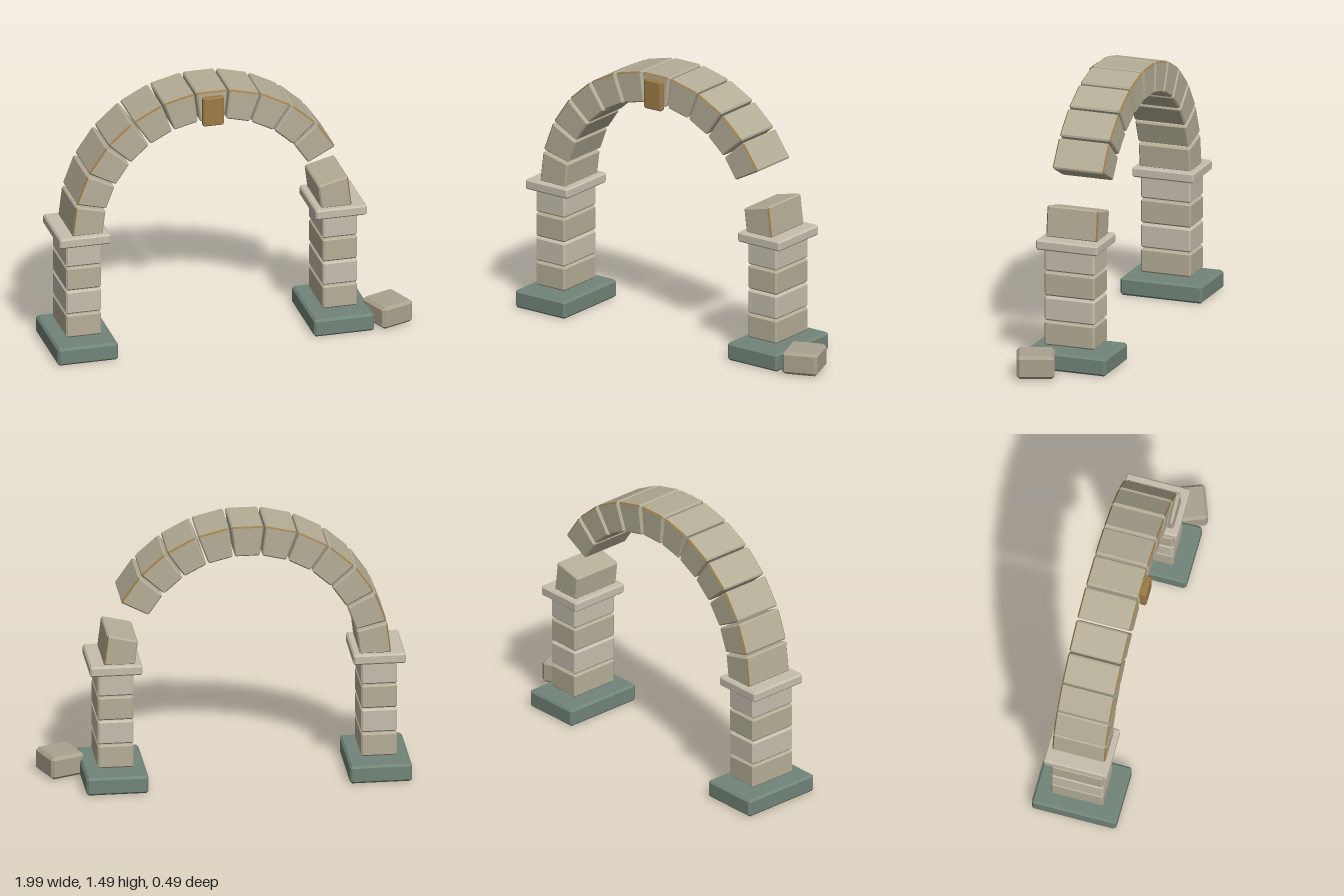
import * as THREE from 'three';
import { ConvexGeometry } from 'three/addons/geometries/ConvexGeometry.js';

const material = (color) => new THREE.MeshStandardMaterial({ color, flatShading: true });
const stoneLight = material(0xc6bfae);
const stone = material(0xb5ae97);
const stoneFallen = material(0xaaa28f);
const slate = material(0x728579);
const bronze = material(0x9c7c48);

const CX = -0.117, CZ = -0.013;   // arch axis
const SPRING = 0.71;              // height of the arch centre
const COUNT = 13, MISSING = 11;   // voussoirs, and the one that fell out
const STEP = Math.PI / COUNT;
const R_MID = 0.69, R_DEPTH = 0.17, JOINT = 0.012;

// Box with chamfered edges; widthAt(y) optionally tapers it
function chamferBox(w, h, d, c, widthAt = () => w) {
  const points = [];
  const [x, y, z] = [w / 2, h / 2, d / 2];
  for (const sx of [-1, 1]) for (const sy of [-1, 1]) for (const sz of [-1, 1]) {
    for (const [px, py, pz] of [[x, y - c, z - c], [x - c, y, z - c], [x - c, y - c, z]]) {
      points.push(new THREE.Vector3(sx * px * widthAt(sy * py) / w, sy * py, sz * pz));
    }
  }
  return new ConvexGeometry(points);
}

// Wedge stone whose front and back outer chamfers carry the bronze trim
function voussoirGeometry() {
  const widthAt = (y) => 2 * (R_MID + y) * Math.tan(STEP / 2) - JOINT;
  const geo = chamferBox(widthAt(0), R_DEPTH, 0.296, 0.008, widthAt);
  const normal = geo.attributes.normal;
  geo.clearGroups();
  for (let i = 0; i < normal.count; i += 3) {
    const trimmed = normal.getY(i) > 0.3 && Math.abs(normal.getZ(i)) > 0.3;
    geo.addGroup(i, 3, trimmed ? 1 : 0);
  }
  return geo;
}

export function createModel() {
  const model = new THREE.Group();
  model.name = 'ruinedArch';

  const add = (parent, name, geo, mat, x, y, z) => {
    const mesh = new THREE.Mesh(geo, mat);
    mesh.name = name;
    mesh.position.set(x, y, z);
    parent.add(mesh);
    return mesh;
  };

  // Piers: plinth, four courses and a cap
  const plinth = chamferBox(0.337, 0.1, 0.472, 0.012);
  const course = chamferBox(0.194, 0.133, 0.29, 0.009);
  const cap = chamferBox(0.285, 0.057, 0.355, 0.009);
  for (const side of [-1, 1]) {
    const pier = new THREE.Group();
    pier.name = side < 0 ? 'rightPier' : 'leftPier';
    pier.position.set(CX + side * 0.714, 0, CZ);
    add(pier, 'plinth', plinth, slate, 0, 0.05, 0);
    for (let i = 0; i < 4; i++) {
      add(pier, 'pierBlock', course, i % 2 ? stoneLight : stone, 0, 0.186 + i * 0.139, 0);
    }
    add(pier, 'pierCap', cap, stoneLight, 0, 0.692, 0);
    model.add(pier);
  }

  // Arch ring with one gap
  const arch = new THREE.Group();
  arch.name = 'archRing';
  arch.position.set(CX, SPRING, CZ);
  const wedge = voussoirGeometry();
  for (let i = 0; i < COUNT; i++) {
    if (i === MISSING) continue;
    const a = Math.PI - (i + 0.5) * STEP;
    const name = i === (COUNT - 1) / 2 ? 'keystone' : 'voussoir';
    const block = add(arch, name, wedge, [stone, bronze],
      R_MID * Math.cos(a), R_MID * Math.sin(a), 0);
    block.rotation.z = a - Math.PI / 2;
  }
  model.add(arch);

  // Plate on the keystone
  add(model, 'keystonePlate', chamferBox(0.116, 0.166, 0.036, 0.007), bronze, CX, 1.378, 0.148);

  // Fallen stone beside the left pier
  const fallen = add(model, 'fallenStone', chamferBox(0.2, 0.127, 0.205, 0.016), stoneFallen,
    0.867, 0.069, 0.113);
  fallen.rotation.y = THREE.MathUtils.degToRad(21);

  return model;
}
